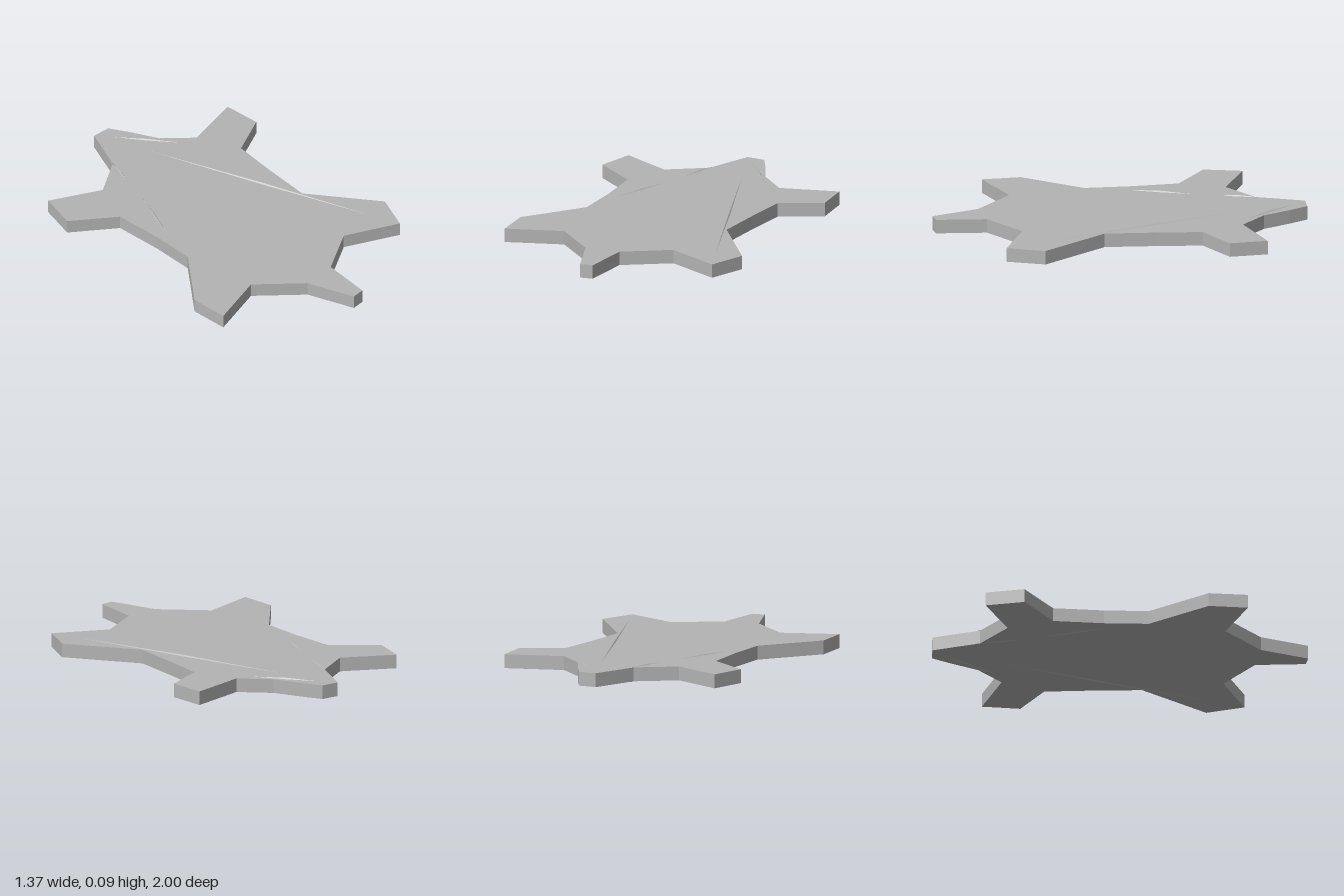
import * as THREE from 'three';

const BOTTOM = 0.008, TOP = 0.083;

// Outline of the hide as [x, z], clockwise from the neck seen from above
const OUTLINE = [
  [-0.06, -1], [0.04, -1], [0.1, -0.9], [0.18, -0.75], [0.33, -0.62],     // neck
  [0.64, -0.715], [0.66, -0.51], [0.44, -0.39], [0.42, -0.15], [0.405, 0.13], // left fore leg, flank
  [0.68, 0.48], [0.605, 0.68], [0.31, 0.56], [0.07, 0.72],                // left hind leg
  [0.05, 0.99], [-0.02, 1], [-0.12, 0.745],                               // tail
  [-0.35, 0.55], [-0.65, 0.66], [-0.665, 0.45], [-0.43, 0.14],            // right hind leg
  [-0.43, -0.1], [-0.45, -0.37], [-0.685, -0.53], [-0.635, -0.735],       // flank, right fore leg
  [-0.355, -0.61], [-0.155, -0.75], [-0.11, -0.87],
];

// Long shallow creases as [x1, z1, x2, z2]
const CREASES = [
  [0.07, -0.69, 0.54, 0.52],
  [0.01, -0.92, 0.24, -0.64],
  [-0.25, -0.42, -0.37, -0.08],
  [-0.15, -0.77, -0.21, -0.55],
];

export function createModel() {
  const group = new THREE.Group();
  group.name = 'hideRug';
  const hide = new THREE.MeshStandardMaterial({ color: 0xb4b4b4, flatShading: true });
  hide.name = 'hide grey';

  // Slab: extruded outline laid flat
  const shape = new THREE.Shape(OUTLINE.map(([x, z]) => new THREE.Vector2(x, -z)));
  const slab = new THREE.ExtrudeGeometry(shape, { depth: TOP - BOTTOM, bevelEnabled: false });
  slab.rotateX(-Math.PI / 2).translate(0, BOTTOM, 0);
  const rug = new THREE.Mesh(slab, hide);
  rug.name = 'hide';
  group.add(rug);

  // Creases: slim tapered ridges on both faces
  for (const [x1, z1, x2, z2] of CREASES) {
    for (const y of [TOP, BOTTOM]) {
      const crease = new THREE.Mesh(new THREE.OctahedronGeometry(1), hide);
      crease.name = y === TOP ? 'topCrease' : 'undersideCrease';
      crease.scale.set(Math.hypot(x2 - x1, z2 - z1) / 2, 0.007, 0.006);
      crease.rotation.y = -Math.atan2(z2 - z1, x2 - x1);
      crease.position.set((x1 + x2) / 2, y, (z1 + z2) / 2);
      group.add(crease);
    }
  }
  return group;
}
